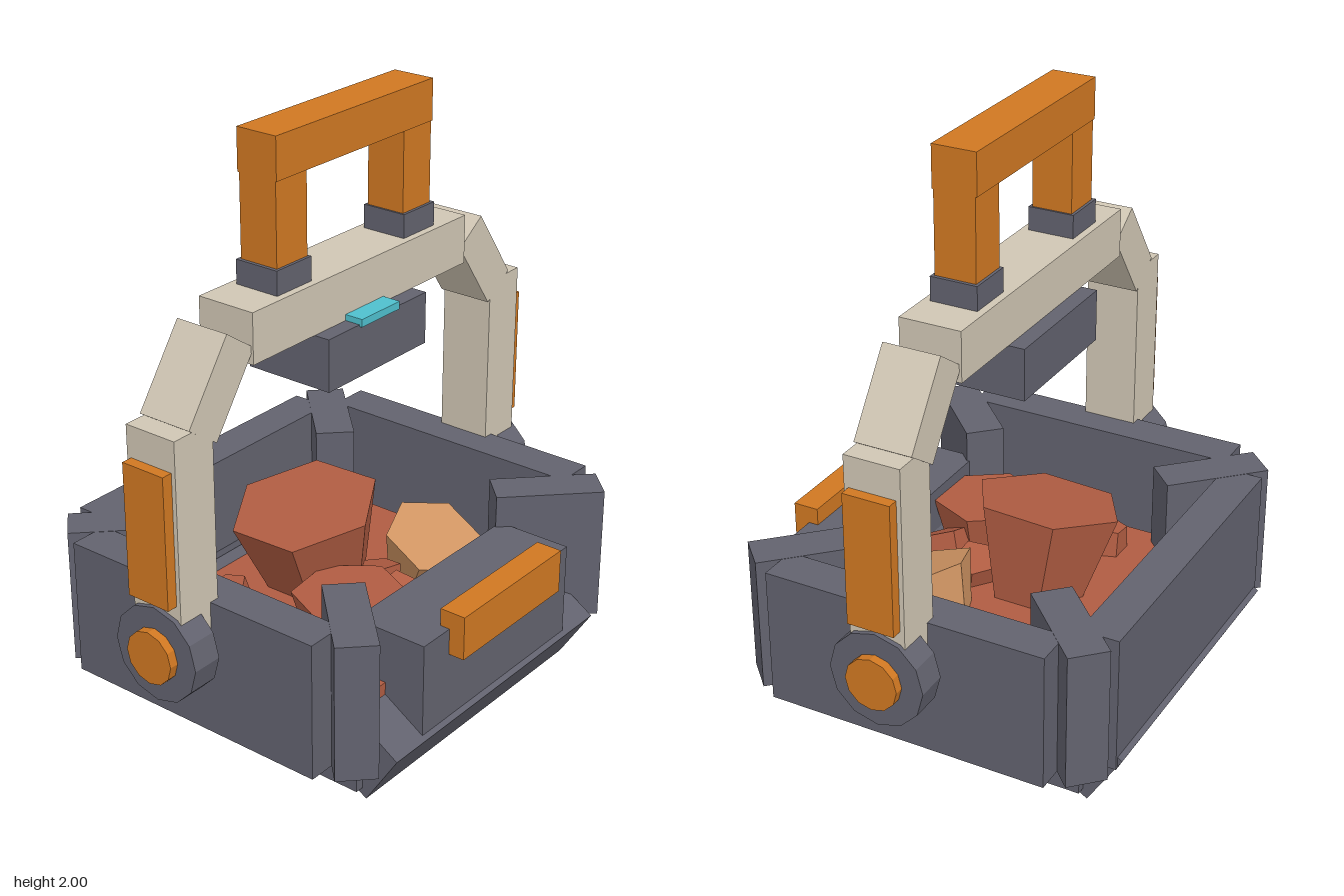
import * as THREE from 'three';

const mat = (name, color) => Object.assign(new THREE.MeshStandardMaterial({ color, flatShading: true }), { name });

export function createModel() {
  const model = new THREE.Group();
  model.name = 'oreBucket';
  const grey = mat('slate grey', 0x62626e);
  const beige = mat('warm beige', 0xd0c6b4);
  const orange = mat('orange', 0xd07822);
  const red = mat('red rock', 0xb05c42);
  const tan = mat('tan rock', 0xcf9462);
  const cyan = mat('cyan light', 0x4fc0ce);
  const CX = -0.02; // the bucket's own centre line

  const add = (name, geometry, material, x, y, z) => {
    const mesh = new THREE.Mesh(geometry, material);
    mesh.name = name;
    mesh.position.set(x, y, z);
    model.add(mesh);
    return mesh;
  };
  // box from its limits along each axis
  const box = (name, material, [x0, x1], [y0, y1], [z0, z1]) =>
    add(name, new THREE.BoxGeometry(x1 - x0, y1 - y0, z1 - z0), material,
      (x0 + x1) / 2, (y0 + y1) / 2, (z0 + z1) / 2);
  const span = (s, a, b) => (s > 0 ? [a, b] : [-b, -a]);

  // bucket floor and walls
  box('floor', grey, [-0.55, 0.51], [0.04, 0.2], [-0.575, 0.575]);
  box('sideWall', grey, [-0.665, -0.53], [0.16, 0.63], [-0.555, 0.555]);
  box('lowGate', grey, [0.36, 0.625], [0.2, 0.52], [-0.39, 0.395]);
  box('gateGrip', orange, [0.59, 0.68], [0.43, 0.58], [-0.265, 0.265]);
  box('oreFill', red, [-0.45, 0.48], [0.2, 0.335], [-0.5, 0.5]);

  // tilted skirts along the bottom of both sides
  const tilt = Math.atan2(0.117, 0.185);
  for (const s of [-1, 1]) {
    const depth = 0.33, height = 0.219;
    const nx = -Math.cos(tilt), ny = Math.sin(tilt);
    const skirt = add('tiltedSkirt', new THREE.BoxGeometry(depth, height, 1.09), grey,
      CX + s * (0.6025 + nx * depth / 2), 0.0975 + ny * depth / 2, 0);
    skirt.rotation.z = -s * tilt;
  }

  // radial corner posts
  for (const sx of [-1, 1]) for (const sz of [-1, 1]) {
    const post = add('cornerPost', new THREE.BoxGeometry(0.365, 0.47, 0.135), grey,
      CX + sx * 0.468, 0.396, sz * 0.53);
    post.rotation.y = -sx * sz * Math.PI / 4;
  }

  // front and back walls with pivot hubs and the arch arms
  for (const s of [-1, 1]) {
    box('endWall', grey, [-0.51, 0.47], [0.16, 0.63], span(s, 0.6, 0.738));
    const hub = add('pivotHub', new THREE.CylinderGeometry(0.163, 0.163, 0.105, 12), grey, CX, 0.482, s * 0.832);
    const cap = add('pivotCap', new THREE.CylinderGeometry(0.09, 0.09, 0.04, 12), orange, CX, 0.482, s * 0.895);
    hub.rotation.x = cap.rotation.x = Math.PI / 2;
    box('archArm', beige, [-0.115, 0.075], [0.48, 1.22], span(s, 0.704, 0.868));
    box('armPanel', orange, [-0.1, 0.06], [0.67, 1.115], span(s, 0.86, 0.905));
    const brace = add('archShoulder', new THREE.BoxGeometry(0.194, 0.3, 0.142), beige, CX, 1.312, s * 0.662);
    brace.rotation.x = -s * 0.61;
    // carrying handle legs
    box('handleCollar', grey, [-0.1, 0.06], [1.5, 1.59], span(s, 0.23, 0.39));
    box('handleLeg', orange, [-0.09, 0.05], [1.58, 1.87], span(s, 0.237, 0.378));
  }
  box('archBeam', beige, [-0.125, 0.085], [1.343, 1.51], [-0.53, 0.53]);
  box('handleBar', orange, [-0.095, 0.055], [1.862, 2], [-0.378, 0.38]);

  // module hanging under the beam
  box('beamModule', grey, [-0.18, 0.14], [1.167, 1.343], [-0.245, 0.247]);
  box('modulePlate', orange, [-0.145, 0.105], [1.15, 1.17], [-0.193, 0.197]);
  box('statusLight', cyan, [0.08, 0.15], [1.337, 1.363], [-0.093, 0.097]);

  // loose rocks: tapered prisms, wide end up
  const rock = (material, [x, y, z], top, bottom, height, sides, rx, ry, rz) => {
    const geometry = new THREE.CylinderGeometry(top, bottom, height, sides);
    geometry.rotateY(ry).translate(0, -height / 2, 0);
    add('rock', geometry, material, x, y, z).rotation.set(rx, 0, rz);
  };
  rock(red, [-0.1, 0.63, 0.08], 0.255, 0.16, 0.34, 6, 0.2, Math.PI / 6, 0.04);
  rock(red, [0.21, 0.48, 0.23], 0.19, 0.13, 0.22, 6, 0.03, 0.1, 0);
  rock(tan, [0.19, 0.47, -0.25], 0.17, 0.11, 0.2, 6, 0.12, 0.35, -0.4);
  rock(red, [-0.31, 0.385, -0.29], 0.105, 0.08, 0.12, 5, 0, 0.6, 0);
  rock(red, [-0.2, 0.42, 0.35], 0.06, 0.085, 0.15, 5, 0.1, 0.3, 0.1);
  rock(red, [0.28, 0.42, 0.05], 0.09, 0.06, 0.15, 5, 0.3, 0.2, -0.4);
  rock(red, [0.1, 0.42, -0.05], 0.08, 0.07, 0.14, 5, -0.2, 0.9, 0.2);

  return model;
}
